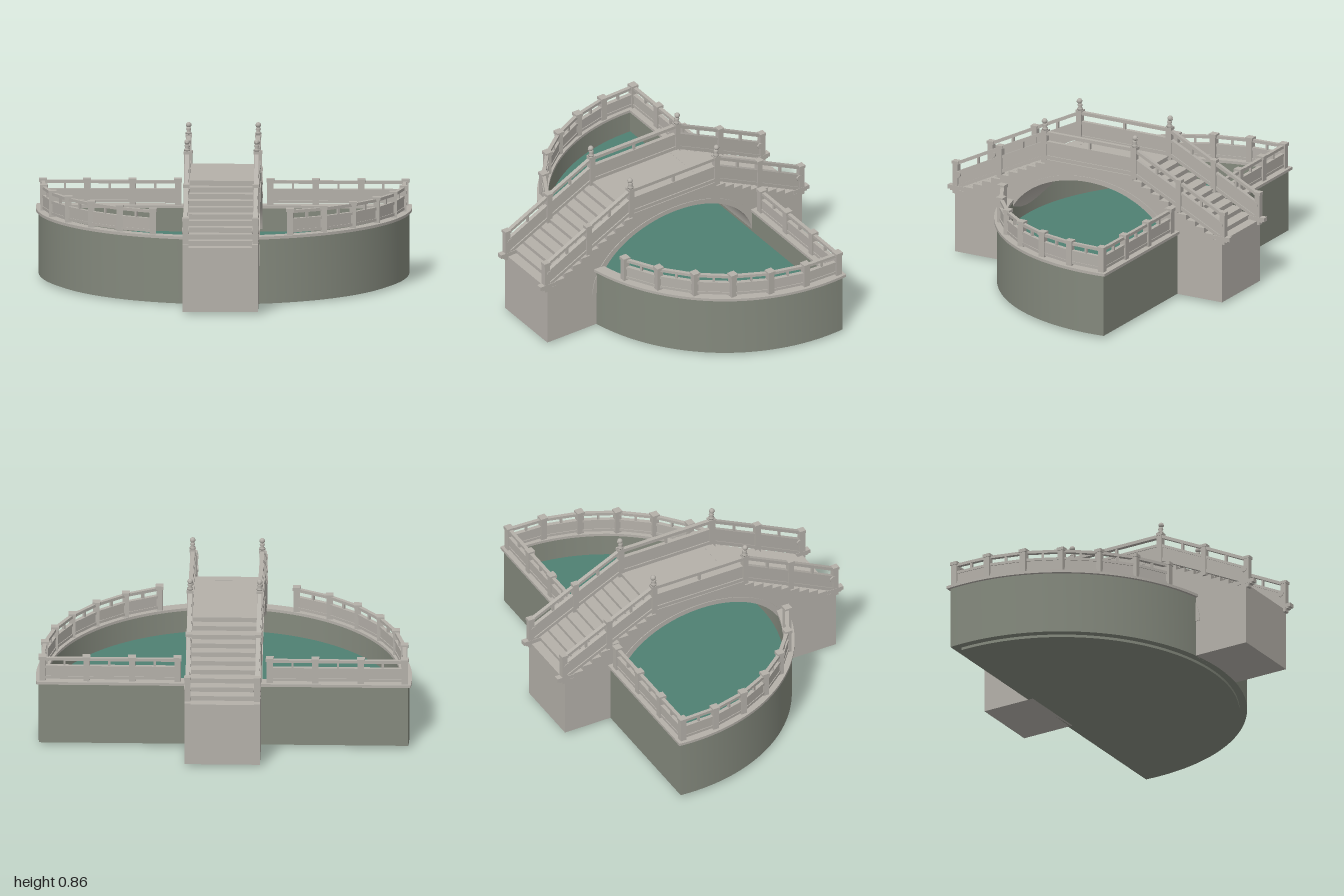
import * as THREE from 'three';
import { toCreasedNormals } from 'three/addons/utils/BufferGeometryUtils.js';

const mat = (name, color) => {
  const m = new THREE.MeshStandardMaterial({ color });
  m.name = name;
  return m;
};

export function createModel() {
  const stone = mat('pale stone', 0xb4b0a9);
  const masonry = mat('green grey masonry', 0x84897d);
  const water = mat('pond water', 0x4f8072);
  const model = new THREE.Group();
  model.name = 'pondBridge';

  const add = (parent, name, geo, material, x = 0, y = 0, z = 0) => {
    const m = new THREE.Mesh(geo, material);
    m.name = name;
    m.position.set(x, y, z);
    parent.add(m);
    return m;
  };
  const box = (parent, name, w, h, d, x, y, z) =>
    add(parent, name, new THREE.BoxGeometry(w, h, d), stone, x, y + h / 2, z);
  const group = (name) => {
    const g = new THREE.Group();
    g.name = name;
    model.add(g);
    return g;
  };
  const extrude = (shape, depth) => toCreasedNormals(
    new THREE.ExtrudeGeometry(shape, { depth, bevelEnabled: false, curveSegments: 72 }), 0.5);

  // D-shaped pond outline: arc at the front, straight edge at the back
  const CZ = 0.46;
  const outline = (r, back, Type = THREE.Shape) => {
    const a = Math.asin((back - CZ) / r);
    const s = new Type();
    s.absarc(0, CZ, r, Math.PI - a, 2 * Math.PI + a, false);
    s.closePath();
    return s;
  };
  const slab = (name, r, back, y, h, material, hole) => {
    const s = outline(r, back);
    if (hole) s.holes.push(outline(hole[0], hole[1], THREE.Path));
    add(model, name, extrude(s, h).rotateX(-Math.PI / 2), material, 0, y, 0);
  };
  slab('baseSlab', 0.945, 0.5, 0, 0.02, masonry);
  slab('pondFloor', 0.985, 0.545, 0.015, 0.02, masonry);
  slab('pondWall', 0.985, 0.545, 0.03, 0.33, masonry, [0.945, 0.495]);
  slab('coping', 1, 0.56, 0.355, 0.015, stone, [0.94, 0.49]);
  slab('water', 0.95, 0.5, 0.22, 0.01, water);

  // Bridge body: side profile with stepped top and elliptical arch
  const STEPS = 10, TOP = 0.63, FOOT = 0.36, Z0 = 0.27, Z1 = 0.82;
  const run = (Z1 - Z0) / STEPS, rise = (TOP - FOOT) / STEPS;
  const side = (shape, width) => extrude(shape, width).rotateY(-Math.PI / 2).translate(width / 2, 0, 0);
  const body = new THREE.Shape();
  body.moveTo(-Z1, 0.015);
  body.lineTo(-0.5, 0.015);
  body.lineTo(-0.5, 0.2);
  body.absellipse(0, 0.2, 0.5, 0.35, Math.PI, 0, true);
  body.lineTo(0.5, 0.015);
  body.lineTo(Z1, 0.015);
  for (let i = STEPS; i > 0; i--) {
    body.lineTo(Z0 + i * run, TOP - i * rise);
    body.lineTo(Z0 + (i - 1) * run, TOP - i * rise);
  }
  body.lineTo(Z0, TOP);
  for (let i = 0; i < STEPS; i++) {
    body.lineTo(-Z0 - i * run, TOP - i * rise);
    body.lineTo(-Z0 - i * run, TOP - (i + 1) * rise);
    if (i === STEPS - 1) body.lineTo(-Z1, FOOT);
  }
  body.closePath();
  add(model, 'bridgeBody', side(body, 0.4), stone);

  // Slightly proud arch ring
  const ring = new THREE.Shape();
  ring.absellipse(0, 0.215, 0.53, 0.36, Math.PI, 0, true);
  ring.lineTo(0.499, 0.215);
  ring.absellipse(0, 0.2, 0.499, 0.349, 0.043, Math.PI - 0.043, false);
  ring.closePath();
  add(model, 'archRing', side(ring, 0.408), stone);

  // Tread slabs with a small nosing
  const treads = group('treads');
  for (const s of [-1, 1])
    for (let i = 0; i < STEPS; i++)
      box(treads, 'tread', 0.34, 0.008, run, 0, TOP - i * rise - 0.007,
        s * (Z0 + (i - 0.5) * run + 0.006));

  // One railing bay from a to b; bars are [low, high, thickness] above the base line
  const bay = (parent, a, b, bars, gap) => {
    const dx = b[0] - a[0], dy = b[1] - a[1], dz = b[2] - a[2];
    const L = Math.hypot(dx, dz);
    const g = new THREE.Group();
    g.name = 'railingBay';
    g.position.set(...a);
    g.rotation.y = Math.atan2(-dz, dx);
    parent.add(g);
    for (const [name, lo, hi, t] of bars) {
      const s = new THREE.Shape([[0, lo], [L, dy + lo], [L, dy + hi], [0, hi]]
        .map((p) => new THREE.Vector2(...p)));
      add(g, name, extrude(s, t), stone, 0, 0, -t / 2);
    }
    box(g, 'strut', 0.012, gap[1] - gap[0], 0.014, L / 2, dy / 2 + gap[0], 0);
  };

  // Pond railing
  const pondBars = [['bottomRail', 0.01, 0.025, 0.022], ['panel', 0.02, 0.075, 0.014],
    ['middleRail', 0.07, 0.085, 0.022], ['topRail', 0.114, 0.13, 0.02]];
  const pondRail = group('pondRailing');
  const pondPost = ([x, y, z]) => {
    box(pondRail, 'post', 0.034, 0.125, 0.034, x, y, z);
    box(pondRail, 'postCap', 0.042, 0.018, 0.042, x, y + 0.122, z);
  };
  for (const s of [-1, 1]) {
    const pts = [0.245, 0.487, 0.729].map((x) => [s * x, 0.37, -0.527]);
    for (let i = 0; i <= 6; i++) {
      const a = THREE.MathUtils.degToRad(-3.9 + i * 11.95);
      pts.push([s * 0.965 * Math.cos(a), 0.37, -CZ + 0.965 * Math.sin(a)]);
    }
    pts.forEach((p, i) => {
      pondPost(p);
      if (i) bay(pondRail, pts[i - 1], p, pondBars, [0.08, 0.12]);
    });
  }

  // Bridge railing with newels, finials and drum stones
  const bridgeBars = [['bottomRail', 0.002, 0.022, 0.026], ['panel', 0.02, 0.095, 0.014],
    ['middleRail', 0.085, 0.1, 0.022], ['topRail', 0.136, 0.154, 0.022]];
  const bridgeRail = group('bridgeRailing');
  const finialProfile = [[0, 0], [0.016, 0], [0.016, 0.008], [0.009, 0.014], [0.014, 0.026],
    [0.01, 0.036], [0, 0.038]].map((p) => new THREE.Vector2(...p));
  for (const s of [-1, 1]) {
    const x = s * 0.185;
    const line = [[-0.82, 0.36], [-0.55, 0.495], [-0.275, 0.63], [0.275, 0.63], [0.55, 0.495], [0.82, 0.36]]
      .map(([z, y]) => [x, y, z]);
    line.forEach((p, i) => {
      if (i) bay(bridgeRail, line[i - 1], p, bridgeBars, [0.098, 0.138]);
      const [, y, z] = p, f = Math.sign(z);
      box(bridgeRail, 'newel', 0.03, 0.17, 0.032, x, y - 0.02, z);
      box(bridgeRail, 'newelCap', 0.035, 0.016, 0.038, x, y + 0.146, z);
      if (Math.abs(z) < 0.3) {
        // Seated guardian finial
        add(bridgeRail, 'finialBody', new THREE.LatheGeometry(finialProfile, 12), stone, x, y + 0.162, z);
        add(bridgeRail, 'finialHead', new THREE.SphereGeometry(0.015, 12, 8), stone, x, y + 0.21, z + f * 0.003);
        add(bridgeRail, 'finialMuzzle', new THREE.SphereGeometry(0.007, 8, 6), stone, x, y + 0.207, z + f * 0.014);
      }
      if (Math.abs(z) > 0.8) {
        // Foot stone and drum at the end of the stair
        box(bridgeRail, 'footStone', 0.032, 0.022, 0.1, x, y + 0.002, z - f * 0.005);
        box(bridgeRail, 'footLedge', 0.03, 0.014, 0.06, x, y - 0.005, z + f * 0.002);
        add(bridgeRail, 'drumStone', new THREE.CylinderGeometry(0.018, 0.018, 0.036, 20).rotateZ(Math.PI / 2),
          stone, x, 0.45, z - f * 0.015);
      }
    });
  }
  return model;
}
